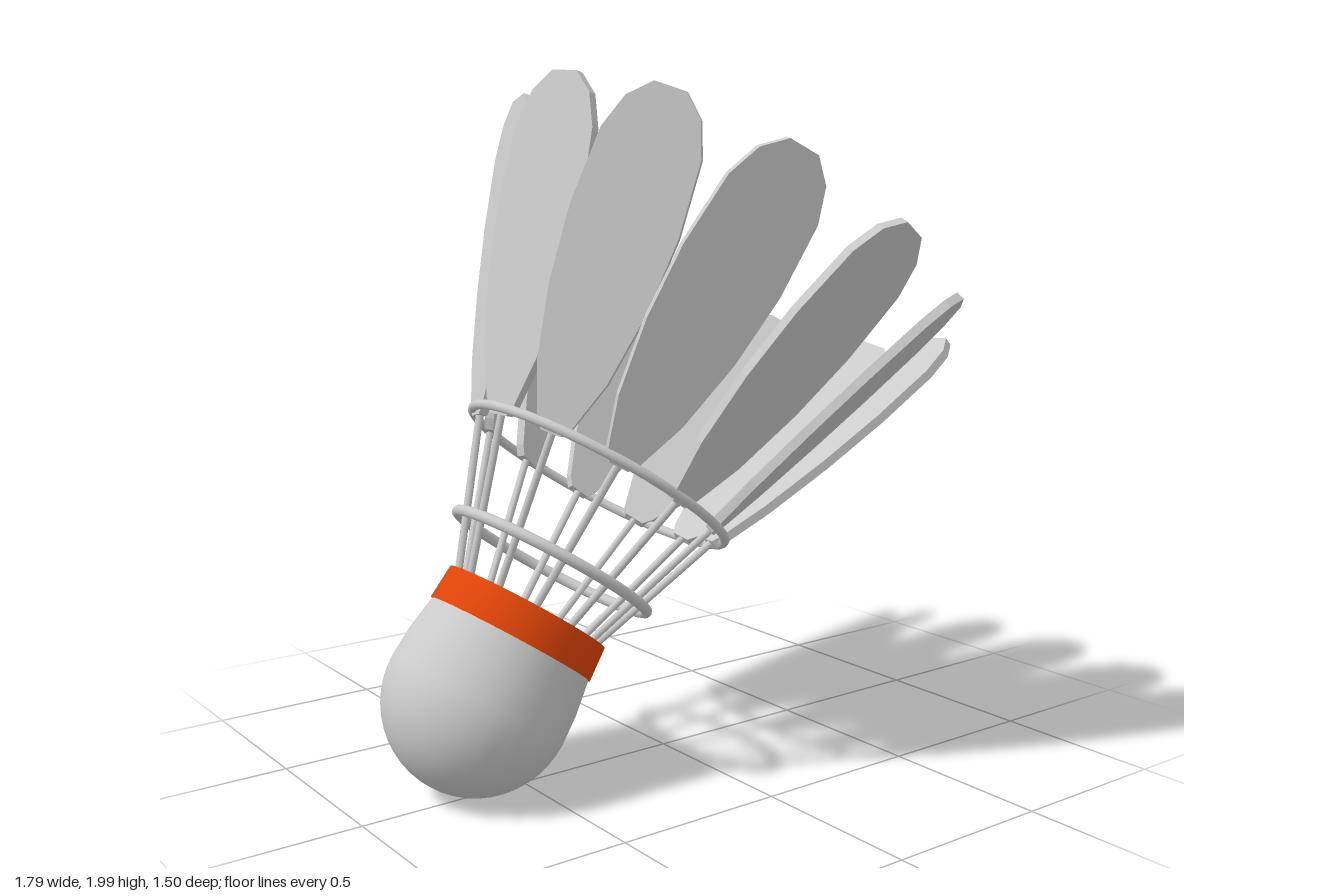
import * as THREE from 'three';

const COUNT = 12;
const CORK_TOP = 0.288;
// every shaft lies on one cone: radius at a height along the axis
const coneRadius = (t) => 0.22 + (t - CORK_TOP) * 0.39;
const SPLAY = Math.atan(0.39);
const TWIST = THREE.MathUtils.degToRad(15);

const grey = new THREE.MeshStandardMaterial({ color: 0xcccccc });
const greyFlat = new THREE.MeshStandardMaterial({ color: 0xcccccc, flatShading: true });
const orange = new THREE.MeshStandardMaterial({ color: 0xe04408 });

function addMesh(parent, name, geometry, material) {
  const mesh = new THREE.Mesh(geometry, material);
  mesh.name = name;
  parent.add(mesh);
  return mesh;
}

// flat vane in the local zy plane, facing +x, base at the origin
function vaneGeometry(length) {
  const half = [[0.03, 0], [0.05, 0.03], [0.1, 0.18], [0.138, 0.4], [0.152, 0.62],
    [0.14, 0.84], [0.105, 0.94], [0.045, 1]];
  const right = half.map(([w, f]) => new THREE.Vector2(w, f * length));
  const left = half.map(([w, f]) => new THREE.Vector2(-w, f * length)).reverse();
  const depth = 0.026;
  const geo = new THREE.ExtrudeGeometry(new THREE.Shape([...right, ...left]), { depth, bevelEnabled: false });
  return geo.translate(0, 0, -depth / 2).rotateY(Math.PI / 2);
}

export function createModel() {
  const model = new THREE.Group();
  model.name = 'shuttlecock';

  // rounded cork with a slightly tapered neck
  const profile = [];
  for (let i = 0; i <= 12; i++) {
    const a = (i / 12) * Math.PI / 2;
    profile.push(new THREE.Vector2(0.268 * Math.sin(a), -0.268 * Math.cos(a)));
  }
  profile.push(new THREE.Vector2(0.263, 0.09), new THREE.Vector2(0.248, 0.19), new THREE.Vector2(0.241, CORK_TOP));
  addMesh(model, 'cork', new THREE.LatheGeometry(profile, 32), grey);
  const top = addMesh(model, 'corkTop', new THREE.CircleGeometry(0.241, 32), grey);
  top.rotation.x = -Math.PI / 2;
  top.position.y = CORK_TOP;

  // coloured band around the neck
  const bandProfile = [[0.245, 0.187], [0.253, 0.187], [0.247, CORK_TOP], [0.238, CORK_TOP + 0.001]]
    .map(([r, y]) => new THREE.Vector2(r, y));
  addMesh(model, 'band', new THREE.LatheGeometry(bandProfile, 32), orange);

  // binding rings outside the shafts
  for (const [name, r, tube, y] of [['lowerRing', 0.304, 0.016, 0.432], ['upperRing', 0.409, 0.014, 0.712]]) {
    const ring = addMesh(model, name, new THREE.TorusGeometry(r, tube, 8, 40), grey);
    ring.rotation.x = Math.PI / 2;
    ring.position.y = y;
  }

  // feathers: a shaft from the cork and a twisted vane
  const shaftStart = 0.26, vaneStart = 0.7, vaneEnd = 1.59;
  const shaftLength = (vaneStart + 0.06 - shaftStart) / Math.cos(SPLAY);
  const shaftGeo = new THREE.CylinderGeometry(0.011, 0.011, shaftLength, 8).translate(0, shaftLength / 2, 0);
  const vaneGeo = vaneGeometry((vaneEnd - vaneStart) / Math.cos(SPLAY));
  for (let i = 0; i < COUNT; i++) {
    const feather = new THREE.Group();
    feather.name = 'feather';
    feather.rotation.y = (i / COUNT) * Math.PI * 2;
    const shaft = addMesh(feather, 'shaft', shaftGeo, grey);
    shaft.position.set(coneRadius(shaftStart), shaftStart, 0);
    shaft.rotation.z = -SPLAY;
    const vane = addMesh(feather, 'vane', vaneGeo, greyFlat);
    vane.position.set(coneRadius(vaneStart), vaneStart, 0);
    vane.rotation.set(0, TWIST, -SPLAY, 'ZYX');
    model.add(feather);
  }

  // lean the whole piece toward +x
  model.rotation.z = -THREE.MathUtils.degToRad(35);
  model.position.set(-0.63, 0.268, -0.02);
  const root = new THREE.Group();
  root.add(model);
  return root;
}
